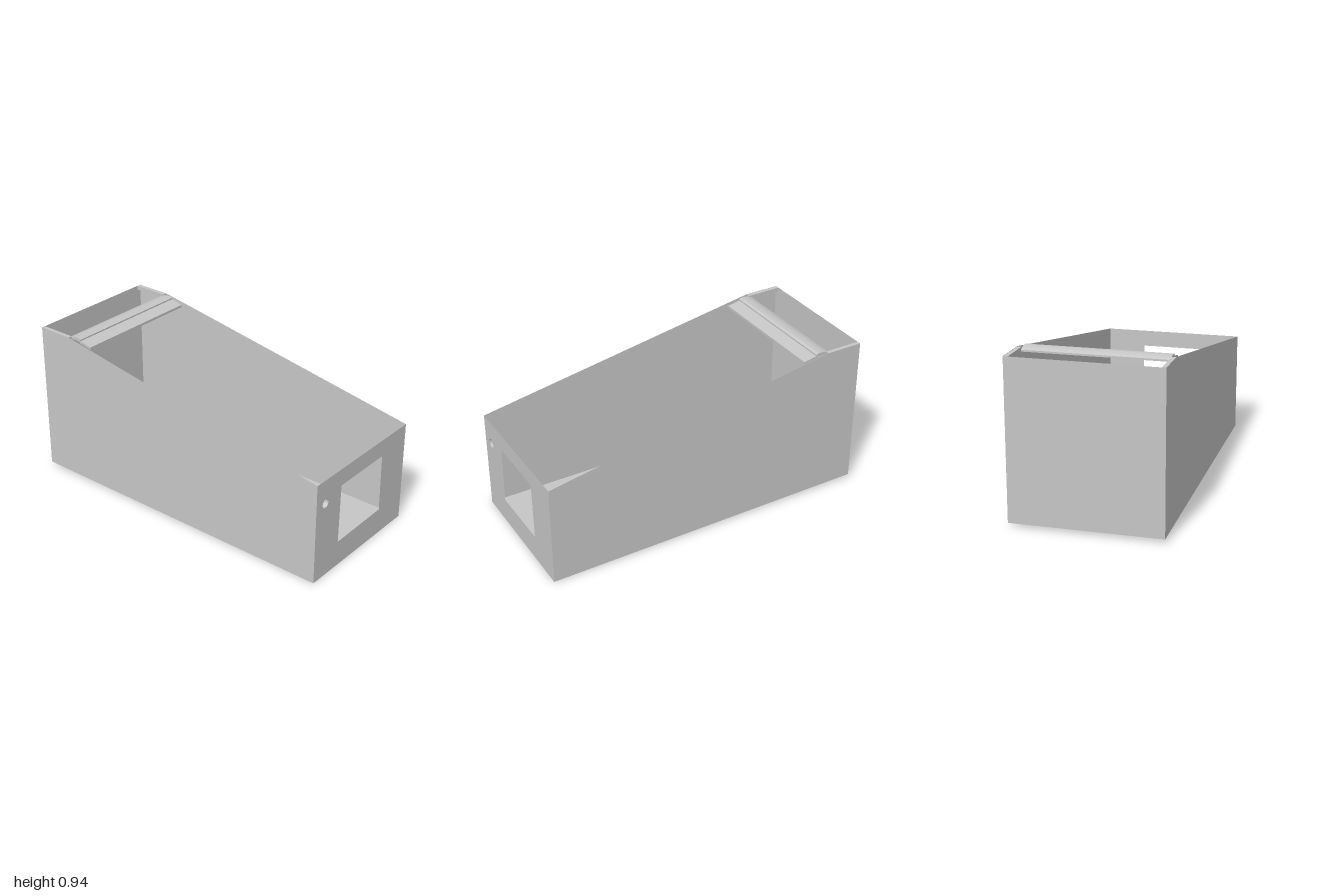
import * as THREE from 'three';

const HALF = 0.43; // half width of the bin

const shapeOf = (pts) => new THREE.Shape(pts.map(([a, b]) => new THREE.Vector2(a, b)));

export function createModel() {
  const group = new THREE.Group();
  const grey = new THREE.MeshStandardMaterial({ color: 0xc6c6c6, side: THREE.DoubleSide });
  grey.name = 'grey';

  const add = (name, geometry) => {
    const mesh = new THREE.Mesh(geometry, grey);
    mesh.name = name;
    group.add(mesh);
    return mesh;
  };

  // Extrudes a (z, y) profile across x, centred on x = 0
  const across = (pts, width) =>
    new THREE.ExtrudeGeometry(shapeOf(pts), { depth: width, bevelEnabled: false })
      .translate(0, 0, -width / 2)
      .rotateY(-Math.PI / 2);

  // Thin side walls with the sloping top edge
  const sidePts = [[1, 0], [1, 0.61], [-0.78, 0.935], [-1, 0.937], [-1, 0.02]];
  for (const [name, s] of [['leftWall', 1], ['rightWall', -1]]) {
    add(name, new THREE.ShapeGeometry(shapeOf(sidePts)).rotateY(-Math.PI / 2)).position.x = s * HALF;
  }

  // Front wall with a window and a small round hole
  const front = shapeOf([[-HALF, 0], [HALF, 0], [HALF, 0.61], [-HALF, 0.61]]);
  front.holes.push(shapeOf([[-0.203, 0.508], [0.195, 0.508], [0.2, 0.158], [-0.21, 0.153]]));
  const hole = new THREE.Path();
  hole.absarc(-0.348, 0.466, 0.027, 0, Math.PI * 2, true);
  front.holes.push(hole);
  add('frontWall', new THREE.ShapeGeometry(front, 24)).position.z = 1;

  // Short sleeve behind the round hole
  add('holeSleeve', new THREE.CylinderGeometry(0.027, 0.027, 0.025, 32, 1, true).rotateX(Math.PI / 2))
    .position.set(-0.348, 0.466, 0.9875);

  // Back wall
  const back = shapeOf([[-HALF, 0.02], [HALF, 0.02], [HALF, 0.937], [-HALF, 0.937]]);
  add('backWall', new THREE.ShapeGeometry(back)).position.z = -1;

  // Floor, rising slightly towards the back
  const floor = new THREE.PlaneGeometry(2 * HALF, 2).rotateX(-Math.PI / 2);
  const p = floor.attributes.position;
  for (let i = 0; i < p.count; i++) p.setY(i, p.getZ(i) < 0 ? 0.02 : 0);
  floor.computeVertexNormals();
  add('floor', floor);

  // Narrow ledges along the flat top at the back
  const ledgePts = [[-1, 0.91], [-0.78, 0.91], [-0.78, 0.934], [-1, 0.936]];
  for (const [name, s] of [['leftLedge', 1], ['rightLedge', -1]]) {
    add(name, across(ledgePts, 0.024)).position.x = s * (HALF - 0.013);
  }

  // Hinge rail across the top: a front flange and a raised, rounded bar
  add('railFlange', across([
    [-0.63, 0.89], [-0.63, 0.905], [-0.67, 0.914], [-0.715, 0.922], [-0.715, 0.908], [-0.67, 0.9],
  ], 0.808));
  add('railBar', across([
    [-0.71, 0.91], [-0.71, 0.93], [-0.725, 0.937], [-0.75, 0.937], [-0.775, 0.932],
    [-0.8, 0.922], [-0.8, 0.912], [-0.76, 0.918], [-0.73, 0.918],
  ], 0.808));

  return group;
}
